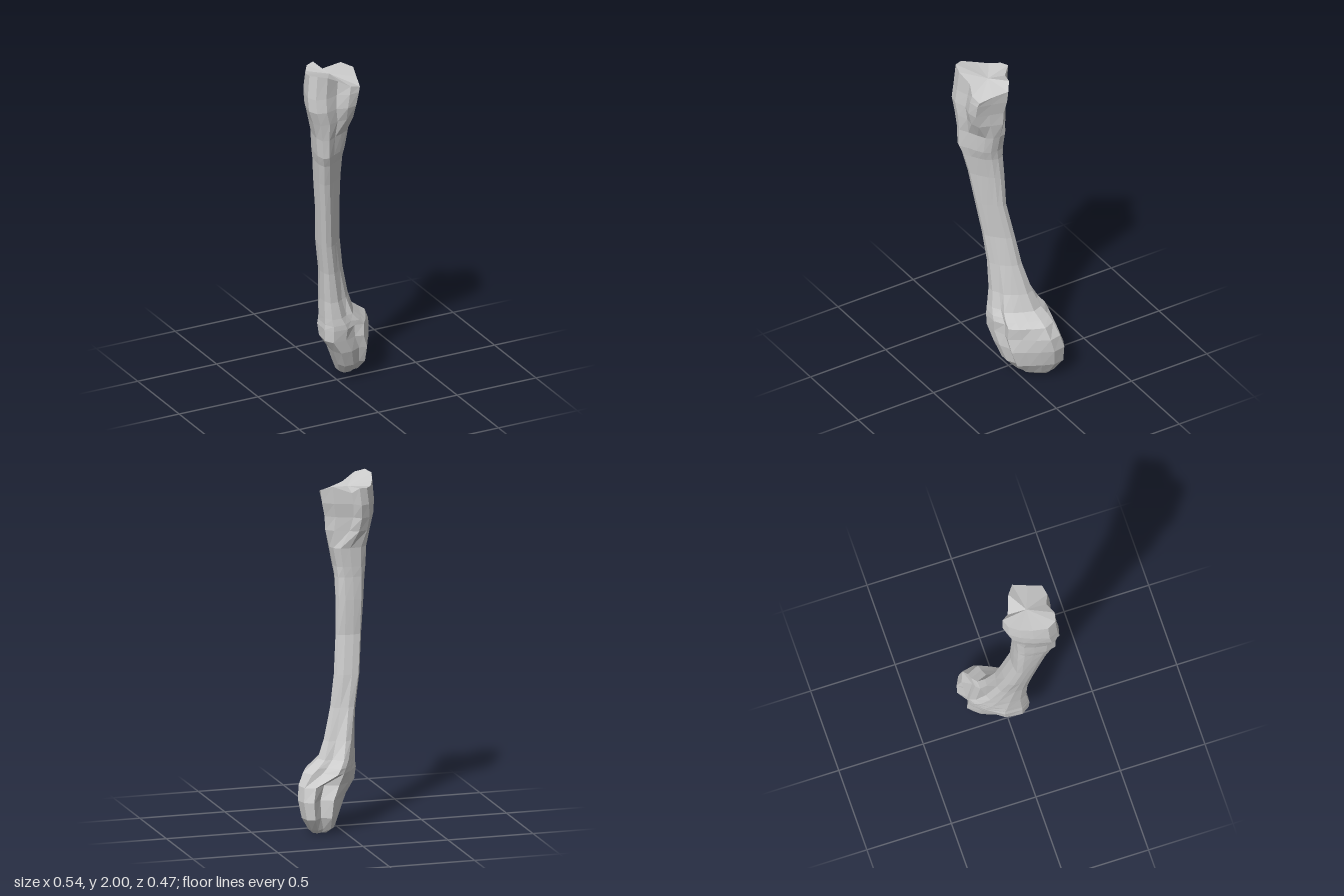
import * as THREE from 'three';

const { lerp } = THREE.MathUtils;

// Scale an outline of [x, z] corners into the -1..1 square
function normalise(points) {
  const box = new THREE.Box2().setFromPoints(points.map(p => new THREE.Vector2(...p)));
  const c = box.getCenter(new THREE.Vector2()), s = box.getSize(new THREE.Vector2());
  return points.map(([x, z]) => [2 * (x - c.x) / s.x, 2 * (z - c.y) / s.y]);
}

// Cross-section outlines, from +x round towards +z
const joint = normalise([
  [0.08, 0.05], [0.055, 0.14], [0.035, 0.225], [-0.03, 0.235], [-0.10, 0.205], [-0.18, 0.23], [-0.24, 0.215],
  [-0.265, 0.16], [-0.24, 0.07], [-0.21, 0], [-0.17, -0.06], [-0.12, -0.08], [-0.085, -0.035], [0.02, 0.005]]);
const tuberosity = normalise([
  [0, 0.07], [-0.005, 0.11], [-0.03, 0.145], [-0.07, 0.17], [-0.12, 0.195], [-0.165, 0.225], [-0.2, 0.215],
  [-0.21, 0.16], [-0.2, 0.09], [-0.185, 0.035], [-0.15, 0.005], [-0.09, 0], [-0.04, 0.005], [-0.01, 0.03]]);
const neck = normalise([
  [0.215, -0.1], [0.185, -0.03], [0.155, 0.03], [0.12, 0.08], [0.07, 0.07], [0.01, 0.105], [-0.07, 0.102],
  [-0.10, 0.05], [-0.095, -0.05], [-0.035, -0.145], [0.015, -0.2], [0.055, -0.222], [0.125, -0.165], [0.185, -0.17]]);
const head = normalise([
  [0.265, -0.13], [0.225, -0.055], [0.175, 0.015], [0.13, 0.085], [0.08, 0.07], [0.01, 0.1], [-0.07, 0.1],
  [-0.10, 0.05], [-0.09, -0.05], [-0.03, -0.14], [0.045, -0.205], [0.125, -0.17], [0.19, -0.232], [0.25, -0.205]]);
const shaft = normalise([
  [1, -0.5], [0.85, -0.1], [0.55, 0.22], [0.25, 0.5], [-0.05, 0.78], [-0.4, 1], [-0.8, 0.95],
  [-0.97, 0.5], [-1, 0], [-0.97, -0.5], [-0.78, -0.88], [-0.25, -1], [0.4, -1], [0.88, -0.87]]);
const N = shaft.length;

// Sections: y, xMin, xMax, zMin, zMax, outline, its share against the plain shaft
const sections = [
  [0.008, 0.08, 0.185, -0.165, -0.06, head, 0.6],
  [0.03, 0.035, 0.208, -0.19, -0.005, head, 0.7],
  [0.1, 0.0, 0.25, -0.235, 0.06, head, 0.9],
  [0.2, -0.045, 0.268, -0.235, 0.09, head, 1],
  [0.28, -0.102, 0.26, -0.212, 0.1, head, 1],
  [0.35, -0.104, 0.228, -0.224, 0.107, neck, 1],
  [0.38, -0.1, 0.185, -0.215, 0.105, neck, 1],
  [0.42, -0.1, 0.135, -0.185, 0.097, neck, 0.9],
  [0.52, -0.1, 0.095, -0.135, 0.085, neck, 0.6],
  [0.7, -0.11, 0.047, -0.08, 0.088, neck, 0.3],
  [0.88, -0.135, 0.018, -0.045, 0.105, shaft, 1],
  [1.1, -0.158, -0.005, -0.002, 0.14, shaft, 1],
  [1.3, -0.178, -0.01, 0.0, 0.172, tuberosity, 0.4],
  [1.43, -0.193, -0.01, 0.005, 0.203, tuberosity, 0.7],
  [1.49, -0.207, -0.003, 0.004, 0.225, tuberosity, 1],
  [1.6, -0.214, 0.02, 0.0, 0.225, tuberosity, 1],
  [1.7, -0.24, 0.045, -0.03, 0.232, joint, 0.7],
  [1.78, -0.266, 0.05, -0.052, 0.238, joint, 0.9],
  [1.86, -0.268, 0.068, -0.072, 0.232, joint, 1],
  [1.95, -0.255, 0.077, -0.07, 0.224, joint, 1]];
// Uneven rim of the upper joint
const rim = [1.935, 1.915, 1.89, 1.905, 1.94, 1.985, 2, 1.99, 1.965, 1.95, 1.955, 1.96, 1.925, 1.96];

function boneGeometry() {
  const pos = [], index = [];
  sections.forEach(([y, x0, x1, z0, z1, outline, share], s) => {
    const ring = normalise(shaft.map(([x, z], i) => [
      lerp(x, outline[i][0], share), lerp(z, outline[i][1], share)]));
    ring.forEach(([x, z], i) => pos.push(
      lerp(x0, x1, (x + 1) / 2),
      s === sections.length - 1 ? rim[i] : y,
      lerp(z0, z1, (z + 1) / 2)));
  });
  // Centres of the rounded bottom and the dished top
  const last = (sections.length - 1) * N, bottom = last + N, top = bottom + 1;
  pos.push(0.13, 0, -0.12, -0.09, 1.94, 0.08);
  for (let i = 0; i < N; i++) {
    const j = (i + 1) % N;
    for (let r = 0; r < last; r += N) {
      index.push(r + i, r + N + i, r + j, r + j, r + N + i, r + N + j);
    }
    index.push(bottom, i, j, top, last + j, last + i);
  }
  const g = new THREE.BufferGeometry();
  g.setAttribute('position', new THREE.Float32BufferAttribute(pos, 3));
  g.setIndex(index);
  g.computeVertexNormals();
  return g;
}

export function createModel() {
  const group = new THREE.Group();
  group.name = 'bone';
  const mesh = new THREE.Mesh(boneGeometry(),
    new THREE.MeshStandardMaterial({ color: 0xcccccc, flatShading: true }));
  mesh.name = 'shaftWithJoints';
  group.add(mesh);
  return group;
}
